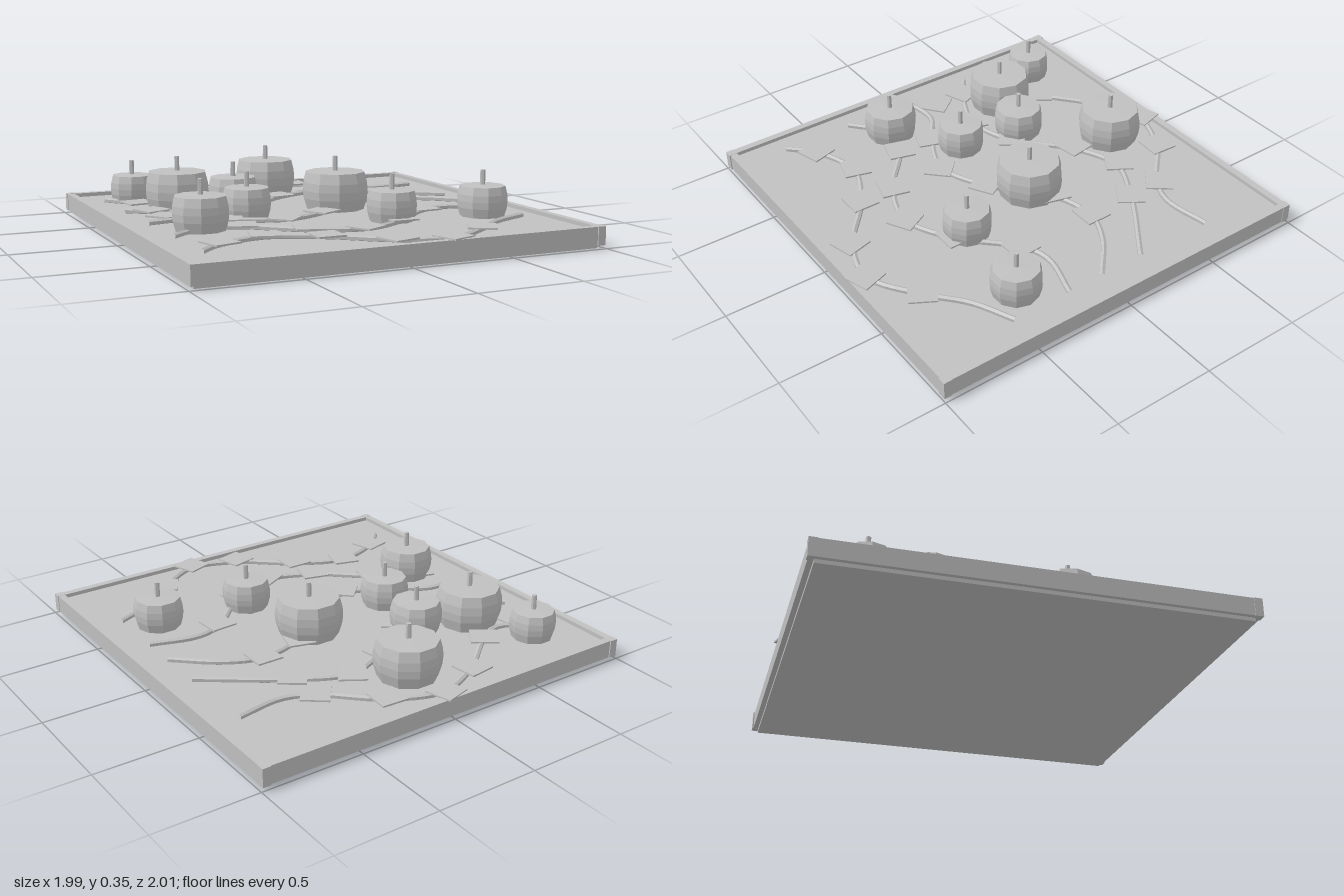
import * as THREE from 'three';

const grey = new THREE.MeshStandardMaterial({ color: 0xc0c0c0, flatShading: true });

function add(parent, name, geometry, x = 0, y = 0, z = 0) {
  const mesh = new THREE.Mesh(geometry, grey);
  mesh.name = name;
  mesh.position.set(x, y, z);
  parent.add(mesh);
  return mesh;
}

// Barrel-shaped ten-sided pumpkin with a flat crown and a short stem
function pumpkin(x, z, r) {
  const group = new THREE.Group();
  group.name = 'pumpkin';
  group.position.set(x, 0, z);
  const bottom = 0.085, top = 0.235 + 0.93 * (r - 0.12);
  const low = bottom + (top - bottom) * 0.3, high = bottom + (top - bottom) * 0.72;
  const profile = [[0, bottom], [r * 0.88, bottom], [r * 0.98, low], [r, (low + high) / 2],
    [r * 0.98, high], [r * 0.9, top - 0.004], [0, top]].map(p => new THREE.Vector2(...p));
  const body = add(group, 'pumpkinBody', new THREE.LatheGeometry(profile, 10));
  body.rotation.y = Math.PI / 10;
  add(group, 'pumpkinStem', new THREE.CylinderGeometry(0.012, 0.013, 0.08, 6), 0, top + 0.032, 0);
  return group;
}

// Vine lying on the soil, with square leaves given as [x, z, turn in degrees]
function vine(path, leaves) {
  const group = new THREE.Group();
  group.name = 'vine';
  const curve = new THREE.CatmullRomCurve3(path.map(([x, z]) => new THREE.Vector3(x, 0.094, z)));
  add(group, 'vineStem', new THREE.TubeGeometry(curve, 48, 0.014, 6));
  for (const [x, z, turn] of leaves) {
    const leaf = add(group, 'leaf', new THREE.BoxGeometry(0.133, 0.008, 0.133), x, 0.106, z);
    leaf.rotation.y = -THREE.MathUtils.degToRad(turn);
  }
  return group;
}

export function createModel() {
  const model = new THREE.Group();
  model.name = 'pumpkinPatch';

  // Soil bed and raised frame
  add(model, 'soil', new THREE.BoxGeometry(1.94, 0.085, 1.94), 0, 0.0425, 0);
  for (const s of [-1, 1]) {
    add(model, 'sideRail', new THREE.BoxGeometry(0.035, 0.086, 1.94), s * 0.973, 0.061, 0);
    add(model, 'endRail', new THREE.BoxGeometry(1.94, 0.086, 0.035), 0, 0.061, s * 0.977);
    for (const t of [-1, 1])
      add(model, 'cornerPost', new THREE.BoxGeometry(0.04, 0.088, 0.04), s * 0.973, 0.061, t * 0.98);
  }

  // Vines, back to front
  model.add(
    vine([[-0.85, -0.73], [-0.73, -0.6], [-0.62, -0.56], [-0.49, -0.62], [-0.245, -0.81], [0, -0.91],
      [0.24, -0.82], [0.48, -0.61], [0.62, -0.555], [0.85, -0.585]],
    [[-0.74, -0.535, -8], [-0.49, -0.62, 36], [-0.245, -0.82, -8], [-0.005, -0.925, -16], [0.24, -0.82, 3], [0.48, -0.62, 38]]),
    vine([[-0.85, -0.37], [-0.74, -0.29], [-0.49, -0.18], [-0.245, -0.24], [0, -0.45], [0.24, -0.545],
      [0.48, -0.44], [0.85, -0.18]],
    [[-0.74, -0.285, -20], [-0.49, -0.175, 16], [-0.24, -0.25, 38], [0, -0.465, -9], [0.24, -0.56, 32], [0.48, -0.435, 35]]),
    vine([[-0.85, 0], [-0.65, -0.02], [-0.49, 0.08], [-0.245, 0.18], [0, 0.085], [0.26, -0.13],
      [0.48, -0.185], [0.65, -0.12], [0.85, 0.05]],
    [[-0.735, -0.11, -38], [-0.49, 0.095, 20], [-0.245, 0.195, 45], [0, 0.085, -30], [0.25, -0.14, 15], [0.48, -0.19, 0]]),
    vine([[-0.85, 0.365], [-0.76, 0.29], [-0.64, 0.23], [-0.49, 0.275], [-0.245, 0.47], [0, 0.55],
      [0.24, 0.44], [0.48, 0.22], [0.62, 0.175], [0.85, 0.235]],
    [[-0.71, 0.165, 15], [-0.49, 0.275, 16], [-0.245, 0.47, 15], [0, 0.555, -28], [0.24, 0.435, 0], [0.48, 0.23, -4]]),
    vine([[-0.85, 0.73], [-0.735, 0.625], [-0.49, 0.545], [-0.245, 0.65], [0, 0.84], [0.24, 0.91],
      [0.48, 0.77], [0.65, 0.63], [0.85, 0.535]],
    [[-0.73, 0.625, -16], [-0.49, 0.535, 16], [-0.245, 0.655, 0], [0, 0.855, -15], [0.24, 0.92, -19], [0.48, 0.77, 30]]),
  );

  // Pumpkins: x, z, radius
  for (const p of [[-0.715, -0.71, 0.112], [-0.57, -0.41, 0.163], [-0.3, -0.335, 0.127],
    [0.02, -0.68, 0.16], [0.145, -0.07, 0.165], [-0.355, -0.01, 0.12],
    [-0.67, 0.215, 0.135], [0.235, 0.36, 0.12], [0.7, 0.42, 0.122]])
    model.add(pumpkin(...p));

  return model;
}
